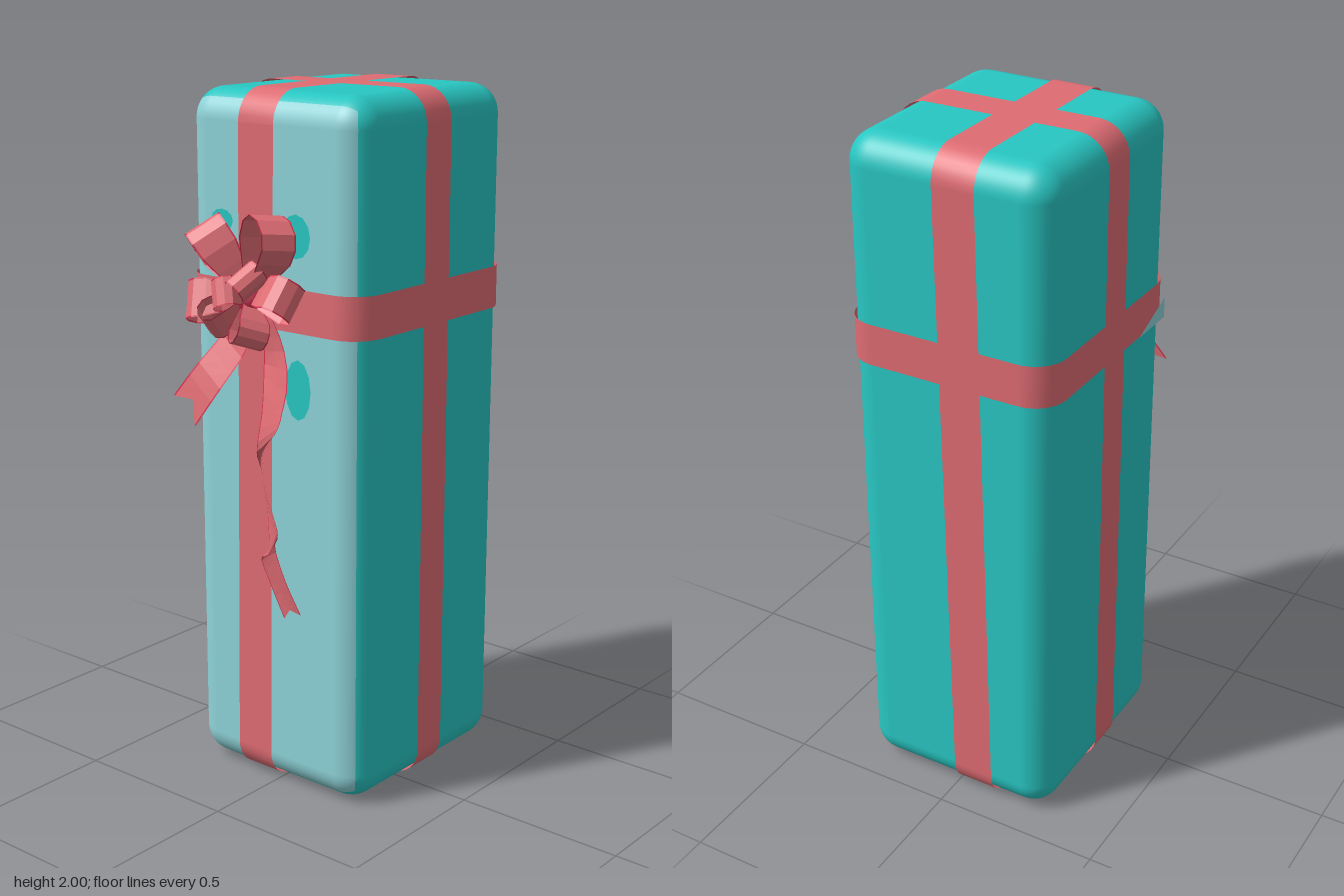
import * as THREE from 'three';
import { RoundedBoxGeometry } from 'three/addons/geometries/RoundedBoxGeometry.js';

const V = (x, y, z) => new THREE.Vector3(x, y, z);

// Ribbon surface: rows of centre points with half-width vectors; notch cuts a V into the end
function stripGeometry(centres, halves, notch = 0) {
  const pos = [], idx = [], last = centres.length - 1;
  centres.forEach((c, i) => {
    const mid = c.clone();
    if (i === last && notch) mid.add(centres[i - 1].clone().sub(c).setLength(notch));
    pos.push(...c.clone().sub(halves[i]).toArray(), ...mid.toArray(), ...c.clone().add(halves[i]).toArray());
    if (i < last) for (let k = 0; k < 2; k++) {
      const a = i * 3 + k;
      idx.push(a, a + 1, a + 3, a + 1, a + 4, a + 3);
    }
  });
  const g = new THREE.BufferGeometry();
  g.setAttribute('position', new THREE.Float32BufferAttribute(pos, 3));
  g.setIndex(idx);
  return g;
}

// Closed rounded rectangle outline as [u, v] pairs
function roundedOutline(halfU, halfV, r) {
  const pts = [], n = 8;
  [[1, 1], [-1, 1], [-1, -1], [1, -1]].forEach(([su, sv], q) => {
    for (let i = 0; i <= n; i++) {
      const a = (q + i / n) * Math.PI / 2;
      pts.push([su * (halfU - r) + r * Math.cos(a), sv * (halfV - r) + r * Math.sin(a)]);
    }
  });
  pts.push(pts[0]);
  return pts;
}

export function createModel() {
  const model = new THREE.Group();
  const mat = (name, color, side = THREE.FrontSide) => {
    const m = new THREE.MeshStandardMaterial({ color, side });
    m.name = name;
    return m;
  };
  const teal = mat('teal paper', 0x28c6c2);
  const pale = mat('pale front paper', 0x8ed3d8);
  const pink = mat('pink ribbon', 0xde6c73, THREE.DoubleSide);
  const crimson = mat('crimson ribbon edge', 0xd0304f, THREE.DoubleSide);
  const add = (name, geometry, material, parent = model) => {
    const m = new THREE.Mesh(geometry, material);
    m.name = name;
    parent.add(m);
    return m;
  };

  // Tall box with a paler front face
  const hx = 0.309, hy = 0.994, hz = 0.339, cz = -0.083, r = 0.085, gap = 0.006;
  add('giftBox', new RoundedBoxGeometry(hx * 2, hy * 2, hz * 2, 5, r),
    [teal, teal, teal, teal, pale, teal]).position.set(0, 1, cz);

  // Teal patches showing on the front
  [[0.095, 1.62, 0.05, 0.06], [-0.17, 1.64, 0.04, 0.03], [0.1, 1.2, 0.045, 0.085]].forEach(([x, y, sx, sy]) => {
    const p = add('frontPatch', new THREE.CircleGeometry(1, 12), teal);
    p.scale.set(sx, sy, 1);
    p.position.set(x, y, cz + hz + 0.002);
  });

  // Three bands wrapped around the box
  const band = (name, u, v, place, half) => {
    const c = roundedOutline(u + gap, v + gap, r + gap).map(place);
    const g = stripGeometry(c, c.map(() => half));
    g.computeVertexNormals();
    add(name, g, pink);
  };
  band('lengthwiseBand', hz, hy, ([u, v]) => V(-0.054 + 0.015 * v, 1 + v, cz + u), V(0.062, 0, 0));
  band('crosswiseBand', hx, hy, ([u, v]) => V(u, 1 + v, -0.074 - 0.012 * u), V(0, 0, 0.056));
  band('waistBand', hx, hz, ([u, v]) => V(u * 1.005, 1.42, cz + v * 1.005), V(0, 0.06, 0));

  // Pale gap where the waist band narrows near the front of the right side
  const wedge = new THREE.Shape([[0.07, 1.36], [0.22, 1.36], [0.22, 1.42]].map(p => new THREE.Vector2(...p)));
  const wedgeMesh = add('bandGap', new THREE.ShapeGeometry(wedge), pale);
  wedgeMesh.rotation.y = -Math.PI / 2;
  wedgeMesh.position.x = -0.319;

  // Bow: faceted pink ribbons with narrow crimson edges around a knot
  const bow = new THREE.Group();
  bow.name = 'bow';
  model.add(bow);
  const ribbon = (name, c, h, notch) => {
    const piece = (part, centres, halves, material, cut) => {
      const g = stripGeometry(centres, halves, cut).toNonIndexed();
      g.computeVertexNormals();
      add(part, g, material, bow);
    };
    piece(name, c, h.map(w => w.clone().multiplyScalar(0.92)), pink, notch);
    [-1, 1].forEach(s => piece(name + 'Edge', c.map((p, i) => p.clone().addScaledVector(h[i], 0.96 * s)),
      h.map(w => w.clone().multiplyScalar(0.04)), crimson));
  };
  const knot = V(-0.02, 1.45, 0.31);
  add('knot', new THREE.IcosahedronGeometry(0.045, 1), crimson, bow).position.copy(knot);

  // Each loop: reach vector, bulge direction, bulge size, half width
  const loops = [
    [V(0.1, 0.22, 0.02), V(1, -0.45, 0.5), 0.075, 0.05],
    [V(-0.15, 0.19, 0.03), V(0.5, 0.5, 0.8), 0.05, 0.055],
    [V(-0.19, -0.03, 0.04), V(0, 0.4, 1), 0.045, 0.055],
    [V(0.18, 0.02, 0.045), V(0, 0.6, 0.8), 0.05, 0.05],
    [V(0.06, -0.11, 0.08), V(1, 0.3, 0.5), 0.04, 0.045],
    [V(-0.02, 0.03, 0.115), V(1, 0.4, 0), 0.04, 0.04],
    [V(-0.09, -0.07, 0.09), V(0.5, -0.6, 0.5), 0.04, 0.045],
    [V(0.06, 0.08, 0.09), V(1, -0.6, 0), 0.035, 0.045],
  ];
  loops.forEach(([reach, bulge, size, half]) => {
    const w = reach.clone().cross(bulge).normalize();
    const side = w.clone().cross(reach).normalize();
    const c = [], h = [];
    for (let i = 0; i <= 14; i++) {
      const t = i / 14 * Math.PI * 2, out = (1 - Math.cos(t)) / 2;
      c.push(knot.clone().addScaledVector(reach, out).addScaledVector(side, size * Math.sin(t) * out / 0.65));
      h.push(w.clone().multiplyScalar(half * (0.35 + 0.65 * Math.min(1, out * 1.6))));
    }
    ribbon('bowLoop', c, h);
  });

  // Tails: each row is a centre point followed by a half-width vector
  const tail = (name, rows, steps, notch) => {
    const centre = new THREE.CatmullRomCurve3(rows.map(p => V(p[0], p[1], p[2])));
    const half = new THREE.CatmullRomCurve3(rows.map(p => V(p[3], p[4], p[5])));
    const c = [], h = [];
    for (let i = 0; i <= steps; i++) {
      c.push(centre.getPoint(i / steps));
      h.push(half.getPoint(i / steps));
    }
    ribbon(name, c, h, notch);
  };
  tail('shortTail', [
    [-0.02, 1.42, 0.3, 0.025, -0.01, 0],
    [-0.08, 1.32, 0.31, 0.045, -0.025, 0.01],
    [-0.145, 1.21, 0.36, 0.05, -0.03, 0.01],
    [-0.215, 1.115, 0.375, 0.05, -0.035, 0.01],
  ], 8, 0.045);
  tail('curledTail', [
    [0, 1.42, 0.3, 0.035, 0.01, 0.005],
    [0.05, 1.3, 0.295, 0.05, 0.01, 0.015],
    [0.085, 1.17, 0.345, 0.05, 0.01, 0.015],
    [0.08, 1.08, 0.365, 0.045, 0.035, 0.01],
    [0.02, 1.01, 0.32, 0.03, 0.03, 0.025],
    [0.01, 0.93, 0.3, 0.03, 0, 0.03],
    [0.06, 0.84, 0.325, 0.04, 0.005, 0.03],
    [0.07, 0.77, 0.33, 0.03, 0.035, 0.015],
    [0.015, 0.72, 0.29, 0.035, 0.025, 0.01],
    [0.04, 0.64, 0.28, 0.04, 0.01, 0.01],
    [0.09, 0.545, 0.275, 0.035, 0.015, 0.005],
  ], 32, 0.02);

  return model;
}
